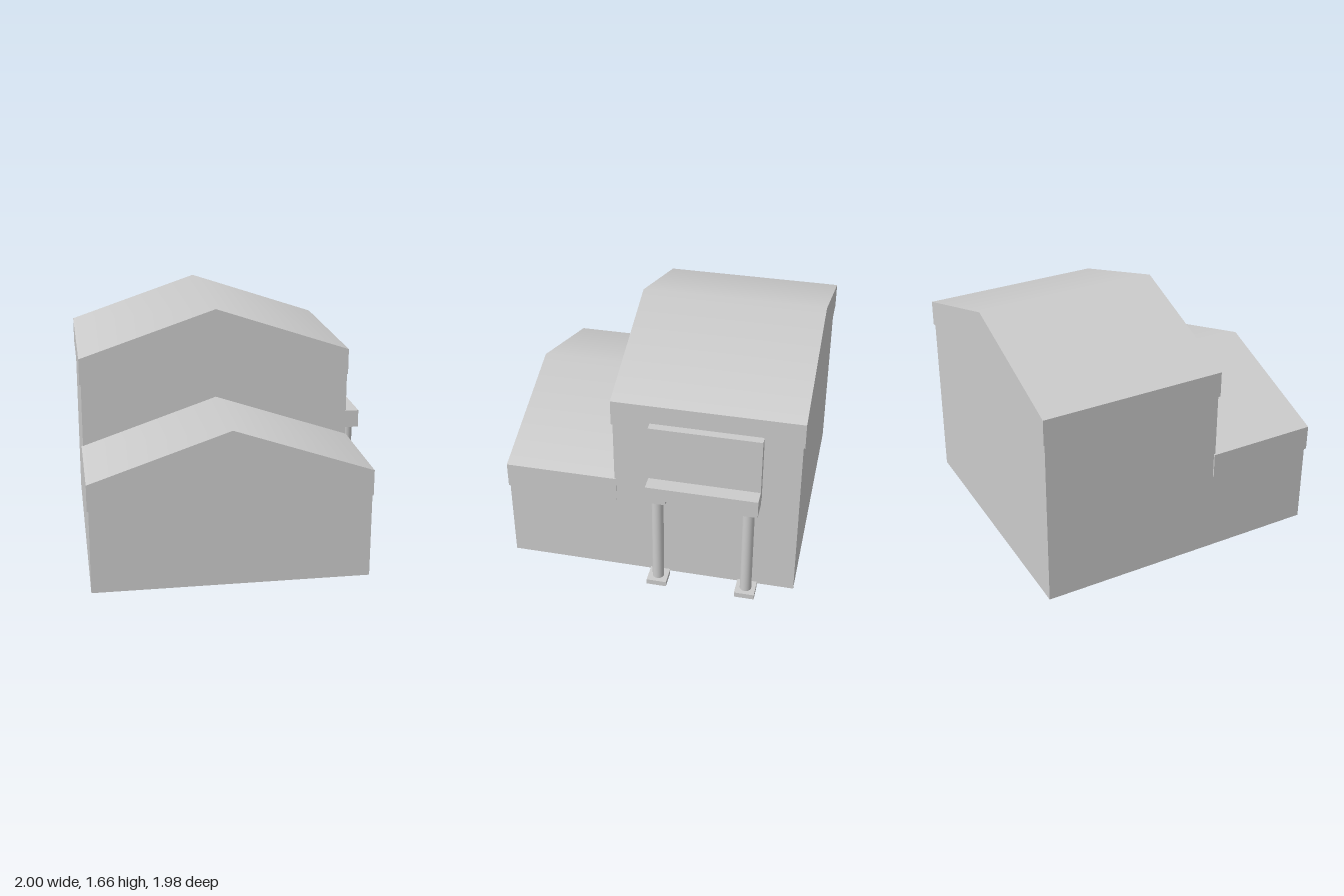
import * as THREE from 'three';

const material = new THREE.MeshStandardMaterial({ color: 0xcccccc });

export function createModel() {
  const model = new THREE.Group();

  const add = (name, geometry) => {
    const mesh = new THREE.Mesh(geometry, material);
    mesh.name = name;
    model.add(mesh);
    return mesh;
  };

  // Box given by its extents on each axis
  const box = (name, [x0, x1], [y0, y1], [z0, z1]) =>
    add(name, new THREE.BoxGeometry(x1 - x0, y1 - y0, z1 - z0))
      .position.set((x0 + x1) / 2, (y0 + y1) / 2, (z0 + z1) / 2);

  // Gabled roof block with a fascia, shaded softly over the ridge
  const roof = (name, base, eave, ridge, z0, z1) => {
    const shape = new THREE.Shape([
      [-1, base], [0.845, base], [0.845, eave], [-0.077, ridge], [-1, eave],
    ].map(([x, y]) => new THREE.Vector2(x, y)));
    const geometry = new THREE.ExtrudeGeometry(shape, { depth: z1 - z0, bevelEnabled: false });
    const { position, normal } = geometry.attributes;
    for (let i = 0; i < position.count; i++) {
      if (position.getY(i) > ridge - 0.001 && Math.abs(normal.getZ(i)) < 0.5) normal.setXYZ(i, 0, 1, 0);
    }
    add(name, geometry).position.z = z0;
  };

  // Tall rear block and low front block
  box('rearWalls', [-0.99, 0.84], [0, 1.18], [-0.98, 0.245]);
  roof('rearRoof', 1.18, 1.355, 1.665, -0.99, 0.255);
  box('frontWalls', [-0.99, 0.84], [0, 0.565], [0.245, 0.98]);
  roof('frontRoof', 0.565, 0.74, 1.053, 0.235, 0.99);

  // Side ledge with its upright panel
  box('ledge', [0.84, 1], [0.735, 0.83], [-0.735, 0]);
  box('ledgePanel', [0.84, 0.9], [0.83, 1.223], [-0.735, 0]);

  // Two columns with square bases and capitals
  for (const z of [-0.067, -0.668]) {
    const depth = [z - 0.067, z + 0.067];
    box('columnBase', [0.865, 1], [0, 0.037], depth);
    add('column', new THREE.CylinderGeometry(0.039, 0.039, 0.67, 32)).position.set(0.932, 0.371, z);
    box('columnCapital', [0.865, 1], [0.706, 0.735], depth);
  }

  return model;
}
